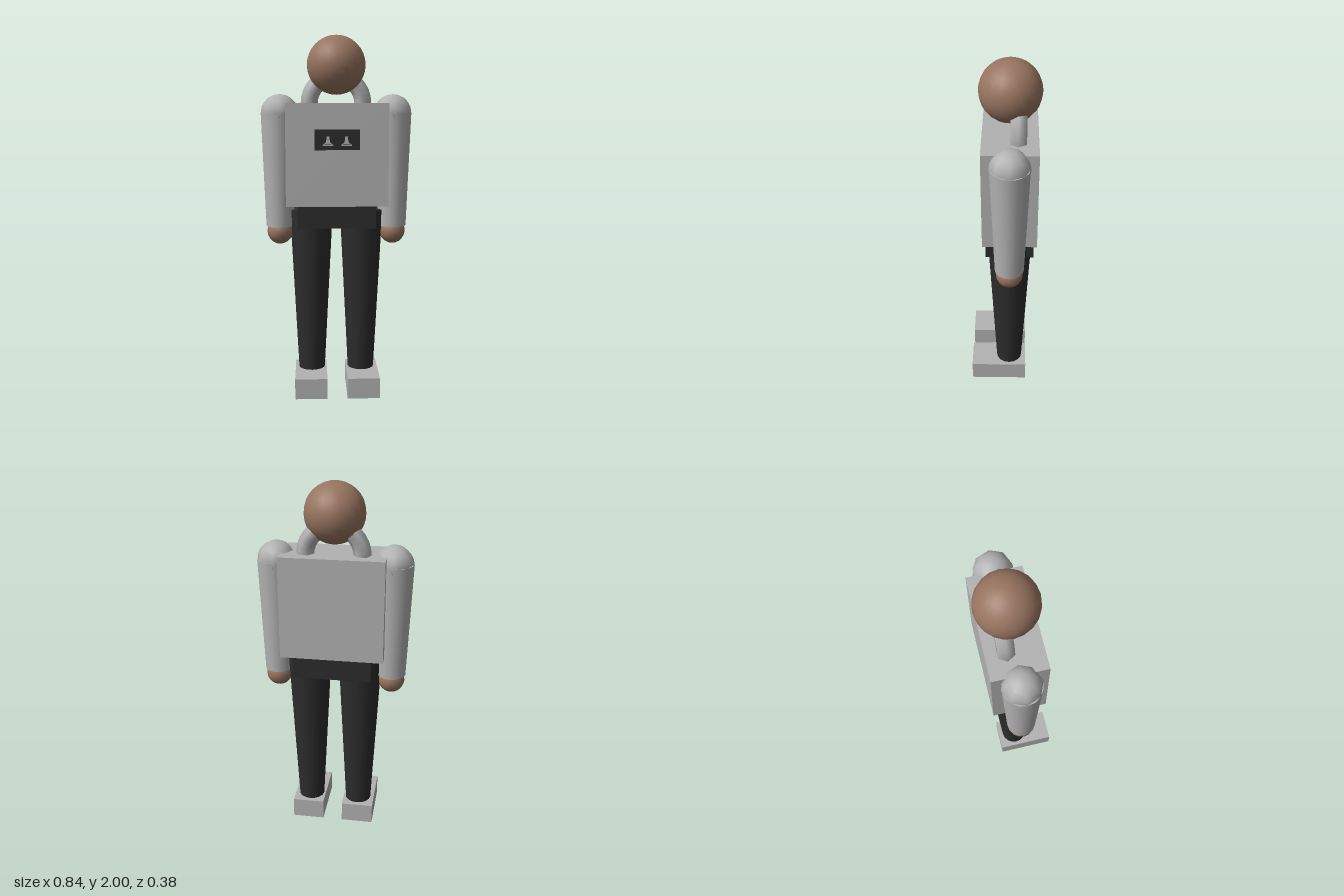
import * as THREE from 'three';

export function createModel() {
  const mat = (name, color) => {
    const m = new THREE.MeshStandardMaterial({ color });
    m.name = name;
    return m;
  };
  const grey = mat('light grey', 0xb2b2b2);
  const dark = mat('charcoal', 0x2c2c2c);
  const skin = mat('brown skin', 0x987460);

  const model = new THREE.Group();
  model.name = 'standingFigure';
  const MID = -0.03; // depth of the body's centre line

  const add = (name, geometry, material, x, y, z) => {
    const mesh = new THREE.Mesh(geometry, material);
    mesh.name = name;
    mesh.position.set(x, y, z);
    model.add(mesh);
    return mesh;
  };

  // Head, torso and hips
  add('head', new THREE.SphereGeometry(0.162, 20, 16), skin, 0, 1.838, MID);
  add('torso', new THREE.BoxGeometry(0.56, 0.56, 0.29), grey, 0, 1.35, MID);
  add('hips', new THREE.BoxGeometry(0.43, 0.13, 0.26), dark, 0, 1.012, MID);

  // Collar arch rising from the shoulders and passing through the head
  add('collarArch', new THREE.TorusGeometry(0.15, 0.048, 6, 16, Math.PI), grey, 0, 1.63, -0.072);

  // Chest panel with two small flared marks
  const front = MID + 0.145;
  add('chestPanel', new THREE.BoxGeometry(0.244, 0.112, 0.006), dark, 0, 1.435, front + 0.003);
  const half = [[0.029, -0.025], [0.027, -0.017], [0.013, -0.008], [0.009, 0.008], [0.009, 0.026]];
  const outline = [...half, ...half.map(([x, y]) => [-x, y]).reverse()];
  const markShape = new THREE.Shape(outline.map(([x, y]) => new THREE.Vector2(x, y)));
  const markGeometry = new THREE.ExtrudeGeometry(markShape, { depth: 0.002, bevelEnabled: false });

  for (const [side, s] of [['left', 1], ['right', -1]]) {
    add(side + 'PanelMark', markGeometry, grey, s * 0.05, 1.427, front + 0.006);
    add(side + 'PanelLine', new THREE.BoxGeometry(0.04, 0.003, 0.002), dark, s * 0.05, 1.409, front + 0.008);

    // Arm: shoulder ball, tapered sleeve and hand
    add(side + 'Shoulder', new THREE.SphereGeometry(0.105, 8, 10), grey, s * 0.314, 1.575, MID);
    add(side + 'Sleeve', new THREE.CylinderGeometry(0.102, 0.078, 0.635, 16), grey, s * 0.317, 1.2625, MID);
    add(side + 'Hand', new THREE.SphereGeometry(0.073, 14, 10), skin, s * 0.318, 0.915, MID);

    // Leg and shoe
    add(side + 'Leg', new THREE.CylinderGeometry(0.121, 0.074, 0.93, 16), dark, s * 0.141, 0.575, MID);
    add(side + 'Shoe', new THREE.BoxGeometry(0.18, 0.115, 0.322), grey, s * 0.146, 0.0575, 0.031);
  }

  return model;
}
